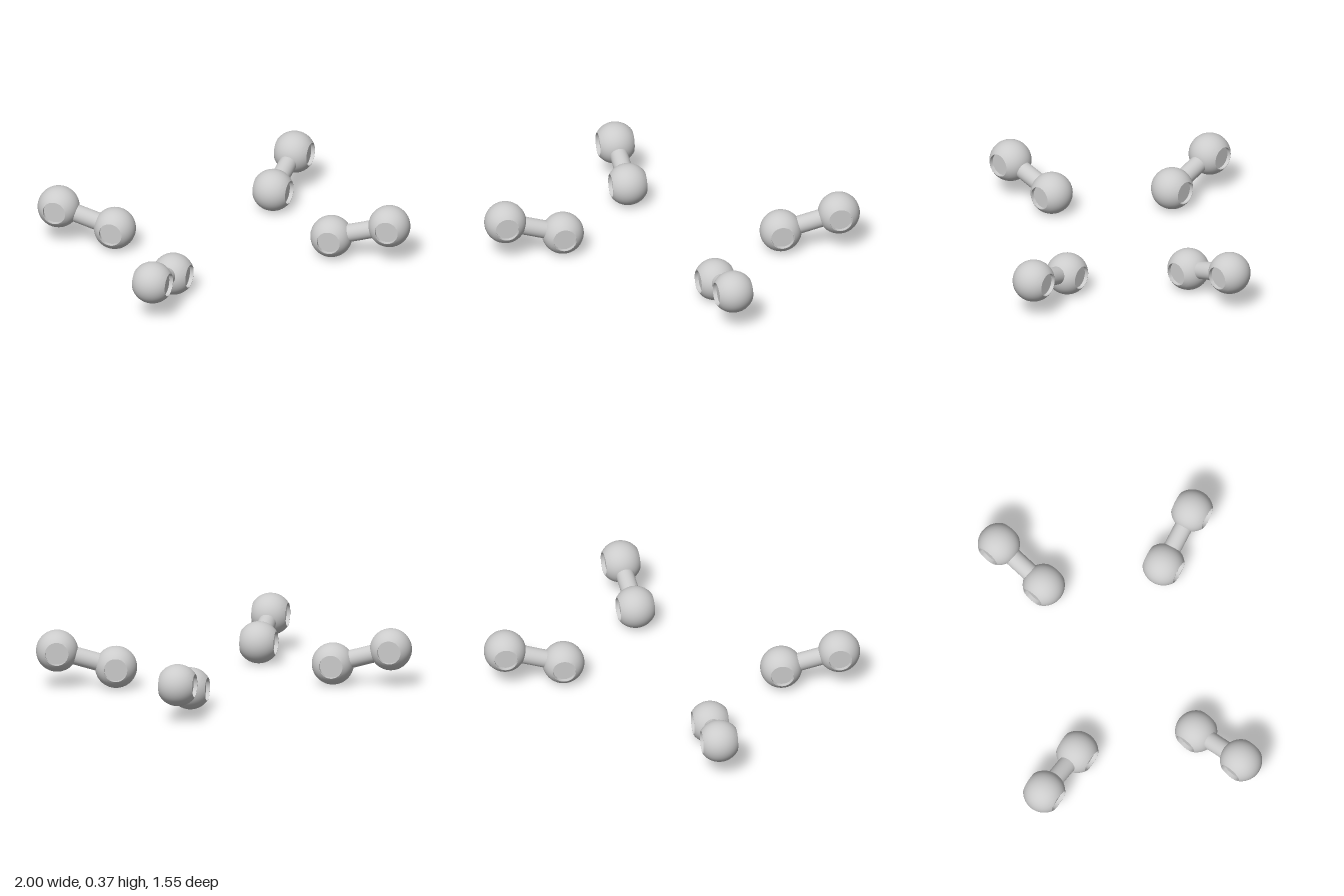
import * as THREE from 'three';
import { toCreasedNormals } from 'three/addons/utils/BufferGeometryUtils.js';

const R = 0.135;        // ball radius
const FACE = 0.112;     // distance of the truncated ends from the ball centre
const BORE = 0.073;     // radius of the round socket in each end
const DEPTH = 0.025;    // socket depth
const ROD = 0.058;

const material = new THREE.MeshStandardMaterial({ color: 0xcccccc });
const UP = new THREE.Vector3(0, 1, 0);

// Ball with two opposite truncated ends, each with a shallow round socket (axis along y)
function ballGeometry() {
  const pts = [
    new THREE.Vector2(0, -FACE + DEPTH),
    new THREE.Vector2(BORE, -FACE + DEPTH),
    new THREE.Vector2(BORE, -FACE),
  ];
  const limit = Math.asin(FACE / R);
  const n = 24;
  for (let i = 0; i <= n; i++) {
    const a = -limit + (2 * limit * i) / n;
    pts.push(new THREE.Vector2(R * Math.cos(a), R * Math.sin(a)));
  }
  pts.push(
    new THREE.Vector2(BORE, FACE),
    new THREE.Vector2(BORE, FACE - DEPTH),
    new THREE.Vector2(0, FACE - DEPTH),
  );
  return toCreasedNormals(new THREE.LatheGeometry(pts, 48), 0.5);
}

// One link: inner low ball, outer raised ball and the rod joining them
function createLink(name, inner, outer, ball) {
  const link = new THREE.Group();
  link.name = name;
  const a = new THREE.Vector3(...inner);
  const b = new THREE.Vector3(...outer);
  const dir = b.clone().sub(a);
  const length = dir.length();
  dir.normalize();

  // Sockets face sideways, level and square to the rod
  const side = new THREE.Vector3().crossVectors(dir, UP).normalize();
  for (const [part, p] of [['innerBall', a], ['outerBall', b]]) {
    const mesh = new THREE.Mesh(ball, material);
    mesh.name = part;
    mesh.position.copy(p);
    mesh.quaternion.setFromUnitVectors(UP, side);
    link.add(mesh);
  }

  // Rod ends stay buried in the balls, clear of the sockets
  const rod = new THREE.Mesh(new THREE.CylinderGeometry(ROD, ROD, length - 0.18, 32), material);
  rod.name = 'rod';
  rod.position.copy(a).add(b).multiplyScalar(0.5);
  rod.quaternion.setFromUnitVectors(UP, dir);
  link.add(rod);
  return link;
}

export function createModel() {
  const model = new THREE.Group();
  model.name = 'ballLinks';
  const ball = ballGeometry();
  const low = 0.136, high = 0.24;

  // name, inner x and z, outer x and z
  const links = [
    ['frontLeftLink', 0.573, 0.392, 0.864, 0.632],
    ['frontRightLink', -0.582, 0.392, -0.865, 0.632],
    ['backLeftLink', 0.575, -0.386, 0.863, -0.625],
    ['backRightLink', -0.582, -0.381, -0.847, -0.645],
  ];
  for (const [name, ix, iz, ox, oz] of links) {
    model.add(createLink(name, [ix, low, iz], [ox, high, oz], ball));
  }
  return model;
}
